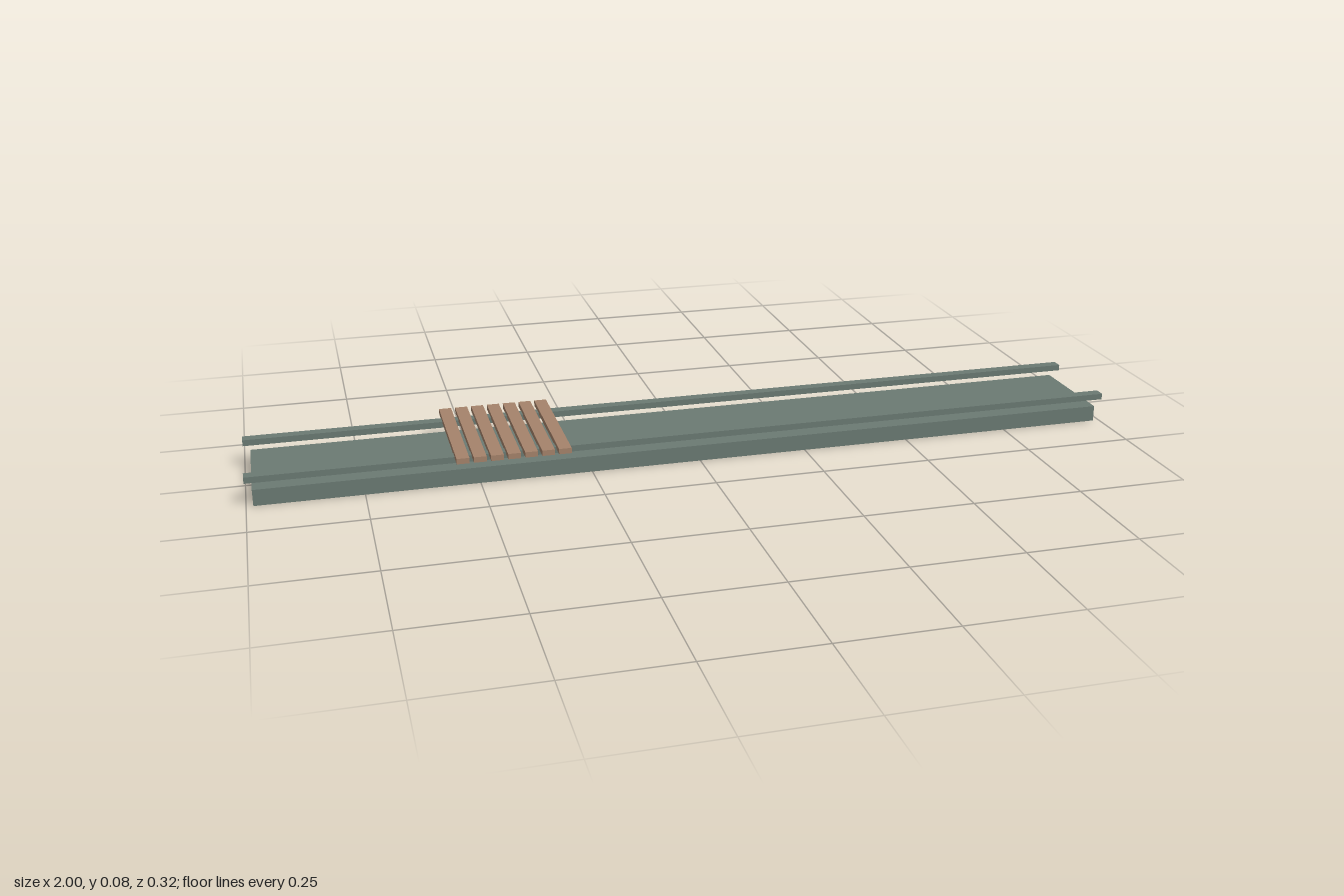
import * as THREE from 'three';

export function createModel() {
  const model = new THREE.Group();
  model.name = 'slattedTrack';
  const green = new THREE.MeshStandardMaterial({ color: 0x6b7a73 });
  const wood = new THREE.MeshStandardMaterial({ color: 0xa5836b });

  // Box given by its size and the height of its underside
  function addBox(name, material, [w, h, d], x, bottom, z) {
    const mesh = new THREE.Mesh(new THREE.BoxGeometry(w, h, d), material);
    mesh.name = name;
    mesh.position.set(x, bottom + h / 2, z);
    model.add(mesh);
  }

  // Long solid bed
  addBox('bed', green, [1.97, 0.037, 0.235], 0, 0, 0);

  // Two rails floating above the bed's long edges
  addBox('leftRail', green, [2, 0.014, 0.025], 0, 0.055, -0.11);
  addBox('rightRail', green, [2, 0.014, 0.025], 0, 0.055, 0.11);

  // Seven wooden slats lying across the rails
  for (let i = 0; i < 7; i++) {
    addBox('slat' + (i + 1), wood, [0.028, 0.0125, 0.317], -0.541 + i * 0.0373, 0.066, 0);
  }
  return model;
}
